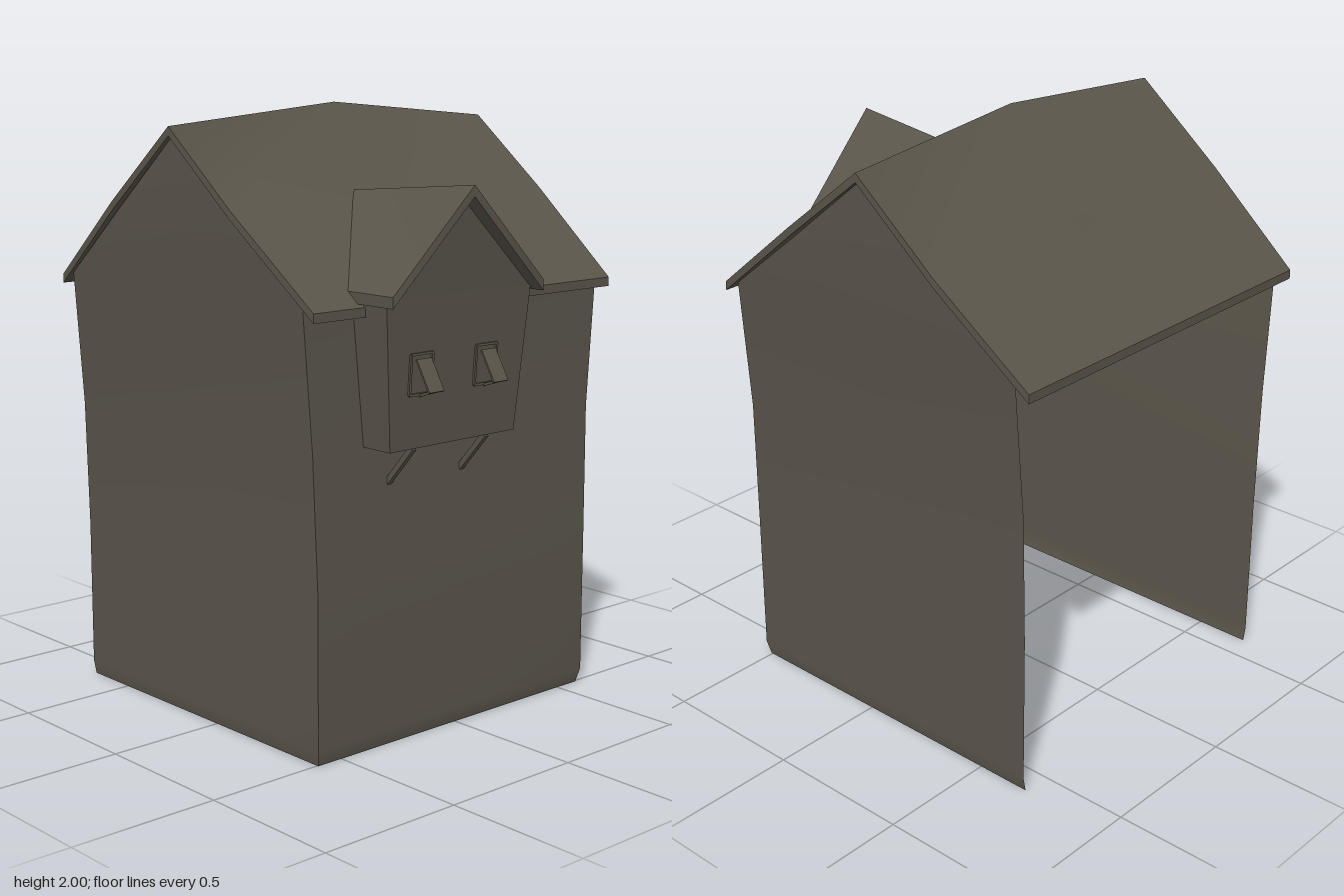
import * as THREE from 'three';
import { toCreasedNormals } from 'three/addons/utils/BufferGeometryUtils.js';

const timber = new THREE.MeshStandardMaterial({ color: 0x5a554a, side: THREE.DoubleSide });
timber.name = 'weathered timber';

// Sheet through rows of points; it faces (column direction) x (row direction)
function sheet(rows, crease = false) {
  const n = rows[0].length, index = [];
  for (let i = 0; i < rows.length - 1; i++) {
    for (let j = 0; j < n - 1; j++) {
      const a = i * n + j, d = a + n;
      index.push(a, a + 1, d + 1, a, d + 1, d);
    }
  }
  const g = new THREE.BufferGeometry();
  g.setAttribute('position', new THREE.Float32BufferAttribute(rows.flat(2), 3));
  g.setIndex(index);
  g.computeVertexNormals();
  return crease ? toCreasedNormals(g, 0.6) : g;
}

function add(parent, name, geometry) {
  const mesh = new THREE.Mesh(geometry, timber);
  mesh.name = name;
  parent.add(mesh);
  return mesh;
}

// Roof slab: upper sheet, lower sheet and rim, rows running front to back
function slab(parent, name, rows, thickness, crease) {
  const group = new THREE.Group();
  group.name = name;
  const lower = (r) => r.map(([x, y, z]) => [x, y - thickness, z]);
  const last = rows[0].length - 1;
  const loop = [
    ...rows[0],
    ...rows.slice(1).map((r) => r[last]),
    ...rows[rows.length - 1].slice(0, -1).reverse(),
    ...rows.slice(0, -1).reverse().map((r) => r[0]),
  ];
  add(group, name + 'Top', sheet(rows, crease));
  add(group, name + 'Underside', sheet(rows.map(lower).reverse(), crease));
  add(group, name + 'Rim', sheet([lower(loop), loop], true));
  parent.add(group);
}

// Straight square-cut bar between two points
function bar(parent, name, a, b, width, depth) {
  const from = new THREE.Vector3(...a), to = new THREE.Vector3(...b);
  const mesh = add(parent, name, new THREE.BoxGeometry(width, depth, from.distanceTo(to)));
  mesh.position.copy(from).add(to).multiplyScalar(0.5);
  mesh.lookAt(to);
}

export function createModel() {
  const house = new THREE.Group();
  house.name = 'house';

  // Walls flare outward toward the eaves: [y, half width, front z, back z]
  const levels = [
    [0, 0.595, 0.505, -0.69], [0.05, 0.605, 0.517, -0.69], [0.55, 0.605, 0.517, -0.69],
    [0.98, 0.615, 0.507, -0.69], [1.43, 0.65, 0.505, -0.685],
    [1.67, 0.668, 0.2, -0.38], [1.91, 0.668, -0.09, -0.09],
  ];
  add(house, 'frontWall', sheet(levels.slice(0, 5).map(([y, w, f]) =>
    [-1, -0.75, 0, 0.75, 1].map((k) => [k * w, y, f]))));
  add(house, 'leftWall', sheet(levels.map(([y, w, f, b]) => [[w, y, f], [w, y, b]])));
  add(house, 'rightWall', sheet(levels.map(([y, w, f, b]) => [[-w, y, b], [-w, y, f]])));

  // Main roof with a humped ridge: [z, end y, middle y, half width]
  const roofRows = [
    [0.56, 1.42, 1.42, 0.655], [0.21, 1.7, 1.7, 0.685], [-0.09, 1.94, 2, 0.685],
    [-0.4, 1.69, 1.69, 0.685], [-0.74, 1.42, 1.42, 0.655],
  ].map(([z, end, mid, w]) => [[-w, end, z], [0, mid, z], [w, end, z]]);
  slab(house, 'mainRoof', roofRows, 0.03, false);

  // Overhanging dormer, leaning forward
  const dormer = new THREE.Group();
  dormer.name = 'dormer';
  house.add(dormer);
  const ring = (y, left, right, z) => [[left, y, 0.5], [left, y, z], [right, y, z], [right, y, 0.5]];
  const foot = ring(0.98, -0.41, 0.13, 0.625), eave = ring(1.45, -0.455, 0.165, 0.657);
  const peak = [-0.18, 1.75, 0.69];
  add(dormer, 'dormerWalls', sheet([foot, eave], true));
  add(dormer, 'dormerGable', sheet([[eave[1], eave[2]], [peak, peak]]));
  add(dormer, 'dormerFloor', sheet([[foot[0], foot[3]], [foot[1], foot[2]]]));
  slab(dormer, 'dormerRoof', [
    [[-0.47, 1.465, 0.7], [-0.18, 1.78, 0.745], [0.178, 1.465, 0.7]],
    [[-0.47, 1.465, 0.49], [-0.15, 1.73, 0.15], [0.178, 1.465, 0.49]],
  ], 0.035, true);

  // Hatches propped open, with thin frames
  const faceZ = (y) => 0.628 + (y - 0.98) * 0.068;
  for (const x of [-0.3, -0.022]) {
    const hatch = new THREE.Group();
    hatch.name = 'hatch';
    dormer.add(hatch);
    const [low, high] = [1.15, 1.275];
    for (const s of [-0.045, 0.045]) {
      bar(hatch, 'frameSide', [x + s, low, faceZ(low)], [x + s, high, faceZ(high)], 0.008, 0.008);
    }
    for (const y of [low, high]) {
      bar(hatch, 'frameRail', [x - 0.045, y, faceZ(y)], [x + 0.045, y, faceZ(y)], 0.008, 0.008);
    }
    bar(hatch, 'hatchFlap', [x, 1.26, 0.655], [x, 1.165, 0.711], 0.062, 0.006);
    bar(hatch, 'hatchProp', [x, 1.168, 0.709], [x, 1.145, 0.638], 0.008, 0.008);
  }

  // Diagonal braces beneath the dormer
  for (const x of [-0.305, 0.012]) {
    bar(dormer, 'brace', [x, 0.98, 0.615], [x, 0.855, 0.505], 0.018, 0.018);
  }
  return house;
}
